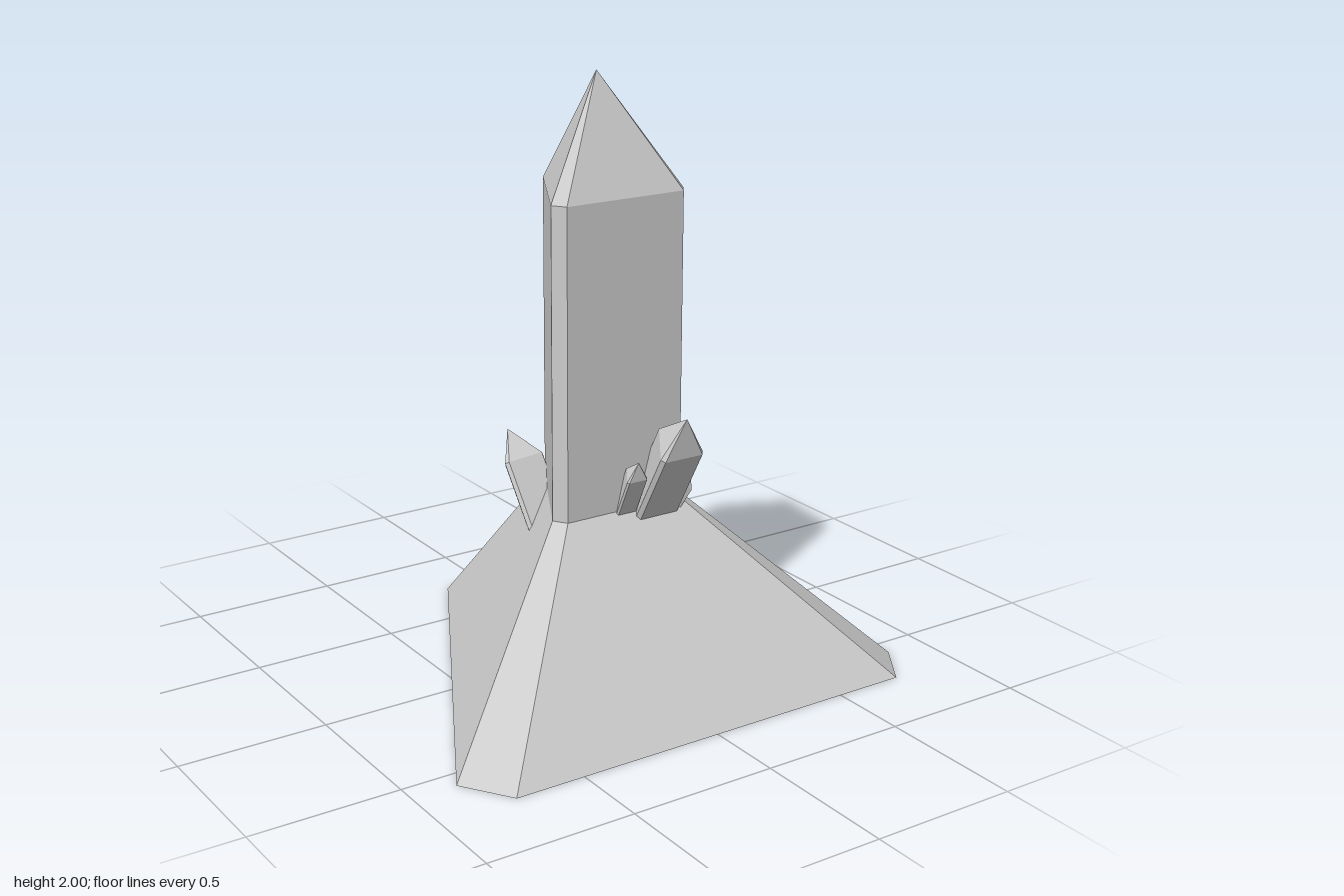
import * as THREE from 'three';

const material = new THREE.MeshStandardMaterial({ color: 0xcccccc, flatShading: true });

// Triangle with cut corners, mirrored in x: front edge, side corners, back edge
function section(y, [fx, fz], [sx, sz], [bx, bz]) {
  return [[fx, y, fz], [sx, y, sz], [bx, y, bz], [-bx, y, bz], [-sx, y, sz], [-fx, y, fz]];
}

// Skins stacked sections from bottom to top, then closes with a floor and a point
function loft(sections, tip) {
  const pos = [];
  const tri = (a, b, c) => pos.push(...a, ...b, ...c);
  const n = sections[0].length;
  const top = sections[sections.length - 1];
  for (let i = 0; i < n; i++) {
    const j = (i + 1) % n;
    for (let k = 0; k + 1 < sections.length; k++) {
      const lo = sections[k], hi = sections[k + 1];
      tri(lo[i], lo[j], hi[j]);
      tri(lo[i], hi[j], hi[i]);
    }
    tri(top[i], top[j], tip);
    if (i > 0 && j > 0) tri(sections[0][0], sections[0][j], sections[0][i]);
  }
  const geo = new THREE.BufferGeometry();
  geo.setAttribute('position', new THREE.Float32BufferAttribute(pos, 3));
  geo.computeVertexNormals();
  return geo;
}

const shaftSection = (y) => section(y, [0.22, 0.21], [0.25, 0.165], [0.04, -0.215]);

// Small shard with its point at the given position; lengths scale with it
function shard(name, scale, shaft, tip, rotX, rotZ) {
  const geo = loft([shaftSection(-0.38 - shaft / scale), shaftSection(-0.38)], [0, 0, 0.04]);
  geo.translate(0, 0, -0.04);
  const mesh = new THREE.Mesh(geo, material);
  mesh.name = name;
  mesh.scale.setScalar(scale);
  mesh.position.set(...tip);
  mesh.rotation.set(rotX, 0, rotZ);
  return mesh;
}

export function createModel() {
  const group = new THREE.Group();
  group.name = 'crystalSpire';

  // Flared foot, tall shaft and pointed cap
  const foot = section(0, [0.74, 0.735], [0.85, 0.57], [0.14, -0.735]);
  const spire = new THREE.Mesh(
    loft([foot, shaftSection(0.585), shaftSection(1.62)], [0, 2, 0.04]), material);
  spire.name = 'mainSpire';
  group.add(spire);

  // Shards growing out around the bottom of the shaft
  group.add(
    shard('largeFrontShard', 0.33, 0.36, [0.115, 0.925, 0.39], 0.52, 0),
    shard('smallFrontShard', 0.155, 0.15, [0.004, 0.768, 0.283], 0.45, 0),
    shard('backShard', 0.3, 0.27, [-0.16, 0.76, -0.26], -0.52, 0.08),
    shard('tinySideShard', 0.08, 0.07, [0.258, 0.645, 0.22], 0, -0.7));
  return group;
}
